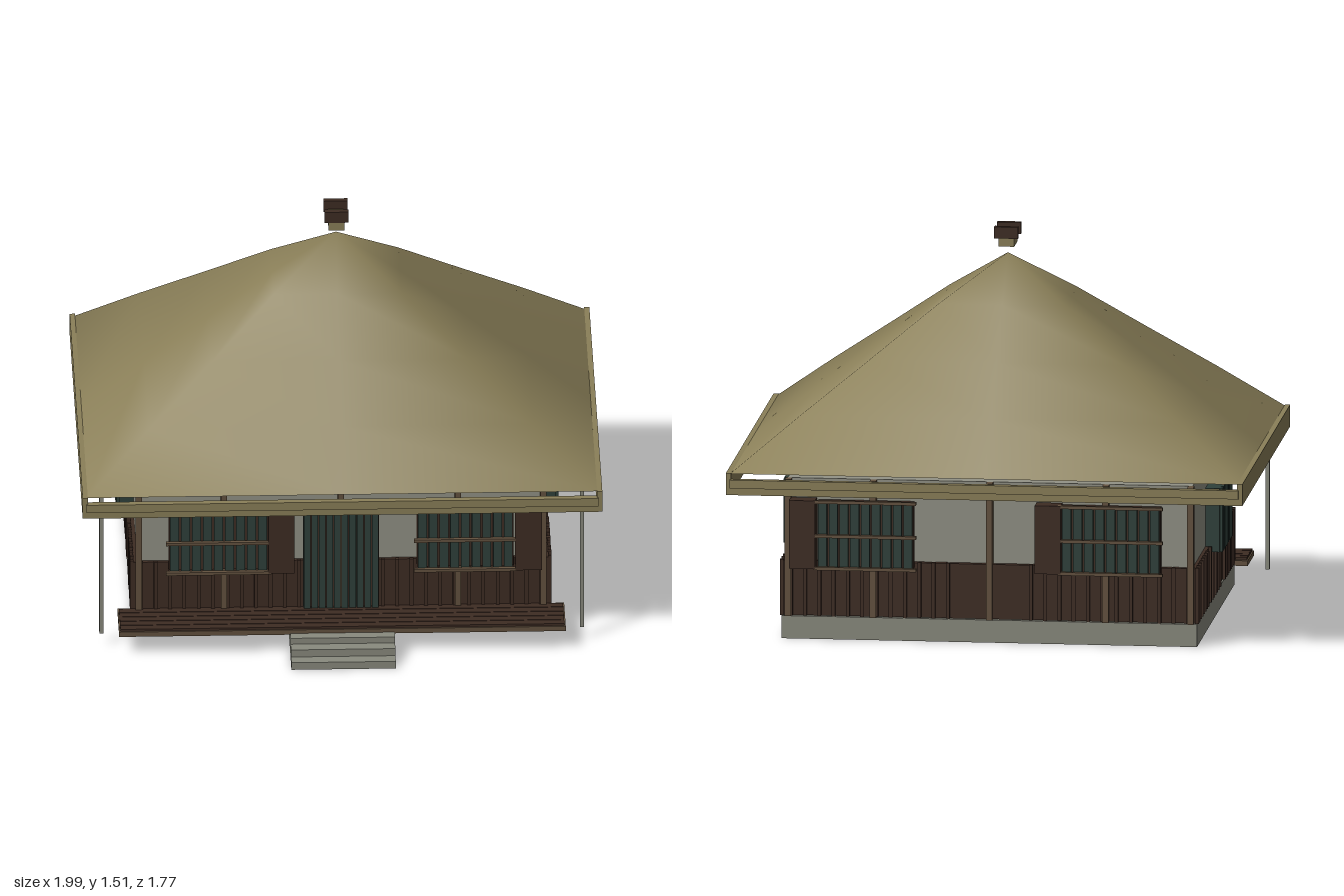
import * as THREE from 'three';

const mat = (name, color, side = THREE.FrontSide) => {
  const m = new THREE.MeshStandardMaterial({ color, side });
  m.name = name;
  return m;
};

export function createModel() {
  const thatch = mat('thatch', 0x8b8059, THREE.DoubleSide);
  const stone = mat('stone', 0x8a8b7f);
  const plaster = mat('plaster', 0x929286);
  const darkWood = mat('dark wood', 0x3e2c23);
  const wood = mat('weathered wood', 0x64523f);
  const teal = mat('teal slats', 0x2f413b);

  const root = new THREE.Group();
  root.name = 'thatchedHouse';
  const group = (name, parent = root) => {
    const g = new THREE.Group();
    g.name = name;
    parent.add(g);
    return g;
  };
  // Box given by its minimum and maximum on each axis
  const box = (parent, name, m, x0, x1, y0, y1, z0, z1) => {
    const b = new THREE.Mesh(new THREE.BoxGeometry(x1 - x0, y1 - y0, z1 - z0), m);
    b.position.set((x0 + x1) / 2, (y0 + y1) / 2, (z0 + z1) / 2);
    b.name = name;
    parent.add(b);
    return b;
  };
  // Square beam between two points
  const beam = (parent, name, m, a, b, w) => {
    const mesh = new THREE.Mesh(new THREE.BoxGeometry(w, w, a.distanceTo(b)), m);
    mesh.position.copy(a).lerp(b, 0.5);
    mesh.lookAt(b);
    mesh.name = name;
    parent.add(mesh);
  };

  // Foundation and front steps
  box(root, 'foundation', stone, -0.8, 0.8, 0, 0.088, -0.7, 0.57);
  const steps = group('frontSteps');
  [[0.885, 0, 0.03], [0.835, 0.03, 0.06], [0.785, 0.06, 0.085]].forEach(([z, y0, y1]) =>
    box(steps, 'step', stone, -0.2, 0.2, y0, y1, 0.6, z));

  // Plaster walls
  box(root, 'walls', plaster, -0.78, 0.78, 0.085, 0.62, -0.665, 0.535);

  // Porch deck with long planks
  const porch = group('porch');
  box(porch, 'deckFrame', wood, -0.855, 0.855, 0.08, 0.1, 0.535, 0.742);
  for (let i = 0; i < 5; i++) {
    const z = 0.555 + i * 0.037;
    box(porch, 'plank', darkWood, -0.85, 0.85, 0.1, 0.109, z, z + 0.033);
  }

  // Wainscot panels with upright battens on all four sides
  const wainscot = group('wainscot');
  const panel = (x0, x1, z0, z1) => box(wainscot, 'panel', darkWood, x0, x1, 0.09, 0.303, z0, z1);
  panel(-0.795, -0.14, 0.53, 0.55);
  panel(0.14, 0.795, 0.53, 0.55);
  panel(-0.795, 0.795, -0.69, -0.66);
  [-1, 1].forEach((s) => {
    panel(Math.min(s * 0.77, s * 0.795), Math.max(s * 0.77, s * 0.795), -0.69, 0.55);
    [0.54, 0.5, 0.46, 0.42, 0.38, 0.34, 0.3, 0.26, 0.21, 0.06, 0, -0.05, -0.1, -0.15, -0.2, -0.26,
      -0.35, -0.39, -0.44, -0.49, -0.54, -0.59, -0.64, -0.69].forEach((z) =>
      box(wainscot, 'sideBatten', darkWood, s * 0.8 - 0.007, s * 0.8 + 0.007, 0.09, 0.307, z - 0.007, z + 0.007));
    for (let x = 0.16; x < 0.78; x += 0.055) {
      box(wainscot, 'frontBatten', darkWood, s * x - 0.007, s * x + 0.007, 0.1, 0.307, 0.548, 0.562);
      box(wainscot, 'backBatten', darkWood, s * x - 0.007, s * x + 0.007, 0.09, 0.307, -0.702, -0.688);
    }
  });

  // Barred windows with a sliding shutter; facade is built facing +z
  const barredWindow = (parent, x0, x1, shutterX) => {
    const g = group('barredWindow', parent);
    box(g, 'windowBack', darkWood, x0, x1, 0.285, 0.54, -0.02, 0.012);
    const n = 9, pitch = (x1 - x0) / n;
    for (let i = 0; i < n; i++) {
      const x = x0 + i * pitch;
      box(g, 'slat', teal, x + 0.004, x + pitch - 0.004, 0.285, 0.54, 0.012, 0.03);
    }
    [0.282, 0.408, 0.541].forEach((y) =>
      box(g, 'rail', wood, x0 - 0.012, x1 + 0.012, y - 0.006, y + 0.006, 0.03, 0.046));
    box(g, 'shutter', darkWood, shutterX, shutterX + 0.1, 0.28, 0.546, -0.02, 0.047);
  };
  [[0.57, 1, 'frontWindows'], [-0.697, -1, 'backWindows']].forEach(([z, s, name]) => {
    const facade = group(name);
    // A half turn plus swapped positions mirrors the facade to the back
    if (s > 0) {
      barredWindow(facade, -0.66, -0.28, -0.28);
      barredWindow(facade, 0.29, 0.66, 0.667);
    } else {
      facade.rotation.y = Math.PI;
      barredWindow(facade, 0.28, 0.66, 0.18);
      barredWindow(facade, -0.66, -0.29, -0.767);
    }
    facade.position.z = z;
  });

  // Slatted front door
  const door = group('frontDoor');
  box(door, 'doorBack', darkWood, -0.145, 0.145, 0.11, 0.545, 0.53, 0.56);
  for (let i = 0; i < 10; i++) {
    const x = -0.145 + i * 0.029;
    box(door, 'doorSlat', teal, x + 0.002, x + 0.027, 0.11, 0.545, 0.56, 0.575);
  }

  // Slatted side windows
  [-1, 1].forEach((s) => {
    const g = group('sideWindow');
    box(g, 'windowPanel', teal, s * 0.805 - 0.03, s * 0.805 + 0.03, 0.282, 0.53, -0.24, 0.11);
    for (let i = 0; i < 9; i++) {
      const z = -0.235 + i * 0.0385;
      box(g, 'slat', teal, s * 0.838 - 0.008, s * 0.838 + 0.008, 0.282, 0.53, z, z + 0.031);
      if (i % 2) box(g, 'divider', wood, s * 0.838 - 0.007, s * 0.838 + 0.007, 0.282, 0.53, z + 0.031, z + 0.0385);
    }
  });

  // Timber posts and wall plates
  const frame = group('timberFrame');
  [-0.775, -0.448, 0, 0.448, 0.775].forEach((x) => {
    box(frame, 'frontPost', wood, x - 0.012, x + 0.012, 0.11, 0.62, 0.53, 0.568);
    box(frame, 'backPost', wood, x - 0.012, x + 0.012, 0.088, 0.62, -0.708, -0.66);
  });

  // Slender eave poles in front of the porch
  [-0.92, 0.92].forEach((x) => box(root, 'eavePole', stone, x - 0.008, x + 0.008, 0.05, 0.64, 0.63, 0.646));

  // Four-sided thatched roof with softly shaded hips
  const cz = -0.065, hx = 0.98, hz = 0.797;
  const profile = [[0.25, 1.232], [0.5, 1.045], [0.75, 0.86], [1, 0.668]];
  const ring = [[1, 1], [1, 0], [1, -1], [0, -1], [-1, -1], [-1, 0], [-1, 1], [0, 1]];
  const pos = [0, 1.4, cz], index = [];
  profile.forEach(([r, y], k) => ring.forEach(([x, z], i) => {
    pos.push(x * r * hx, y, cz + z * r * hz);
    const a = 1 + k * 8 + i, b = 1 + k * 8 + (i + 1) % 8;
    if (k === 0) index.push(0, a, b);
    else index.push(a - 8, a, b, a - 8, b, b - 8);
  }));
  const roofGeo = new THREE.BufferGeometry();
  roofGeo.setAttribute('position', new THREE.Float32BufferAttribute(pos, 3));
  roofGeo.setIndex(index);
  roofGeo.computeVertexNormals();
  const roof = new THREE.Mesh(roofGeo, thatch);
  roof.name = 'thatchedRoof';
  root.add(roof);

  // Eave boards
  const eaves = group('eaveBoards');
  [-1, 1].forEach((s) => {
    box(eaves, 'sideBoard', thatch, s * 0.985 - 0.01, s * 0.985 + 0.01, 0.588, 0.672, -0.875, 0.745);
    const z = s > 0 ? 0.738 : -0.868;
    box(eaves, 'endBoard', thatch, -0.98, 0.98, 0.588, 0.648, z - 0.01, z + 0.01);
    box(eaves, 'endTrim', thatch, -0.98, 0.98, 0.615, 0.648, z + s * 0.012 - 0.005, z + s * 0.012 + 0.005);
  });

  // Rafters under the overhang, following each slope
  const rafters = group('rafters');
  const slopePoint = (x, z, r) => new THREE.Vector3(x * hx * r, 1.4 - 0.732 * r - 0.02, cz + z * hz * r);
  [-0.9, -0.6, -0.3, 0, 0.3, 0.6, 0.9].forEach((t) => [-1, 1].forEach((s) => {
    beam(rafters, 'rafter', darkWood, slopePoint(t, s, 0.97), slopePoint(t, s, 0.5), 0.016);
    beam(rafters, 'rafter', darkWood, slopePoint(s, t, 0.97), slopePoint(s, t, 0.5), 0.016);
  }));

  // Ridge ornament above the peak
  const finial = group('ridgeOrnament');
  box(finial, 'ridgeBlock', thatch, -0.03, 0.03, 1.432, 1.476, -0.12, -0.01);
  [-0.118, -0.02].forEach((z) => box(finial, 'ridgeCap', darkWood, -0.046, 0.046, 1.465, 1.51, z - 0.012, z + 0.012));

  return root;
}
